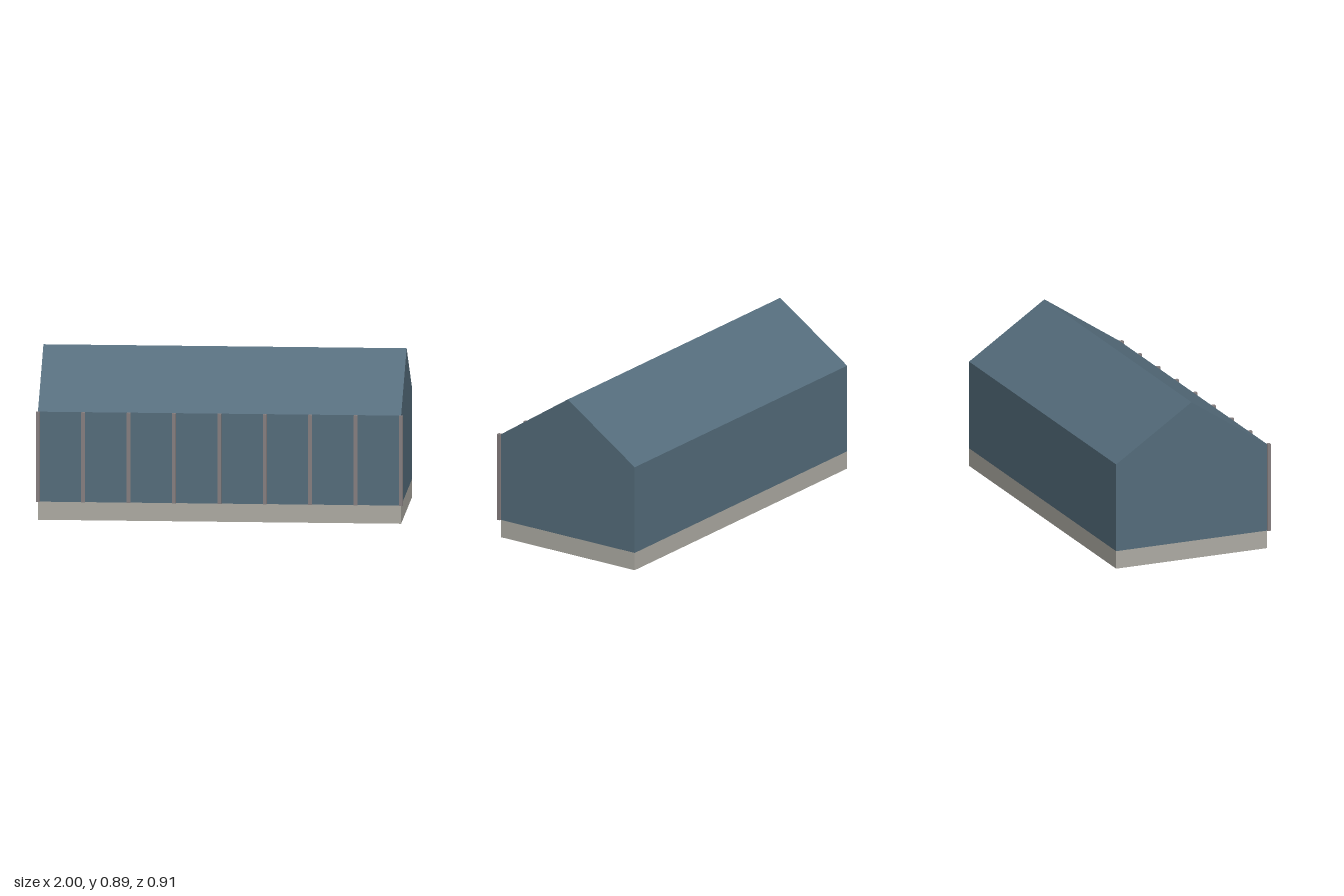
import * as THREE from 'three';

export function createModel() {
  const group = new THREE.Group();
  const wallBlue = new THREE.MeshStandardMaterial({ color: 0x546c7b });
  const plinthGrey = new THREE.MeshStandardMaterial({ color: 0xadaba3 });
  const postGrey = new THREE.MeshStandardMaterial({ color: 0x867f80 });

  const length = 1.976, back = -0.457, front = 0.437;
  const depth = front - back, midZ = (front + back) / 2;
  const plinthTop = 0.1, eaves = 0.595, ridge = 0.892;

  const add = (name, geometry, material, x, y, z) => {
    const mesh = new THREE.Mesh(geometry, material);
    mesh.name = name;
    mesh.position.set(x, y, z);
    group.add(mesh);
    return mesh;
  };

  // Foundation plinth
  add('plinth', new THREE.BoxGeometry(length, plinthTop, depth), plinthGrey, 0, plinthTop / 2, midZ);

  // Gabled hall: end profile extruded along x
  const profile = new THREE.Shape([
    new THREE.Vector2(-depth / 2, plinthTop),
    new THREE.Vector2(depth / 2, plinthTop),
    new THREE.Vector2(depth / 2, eaves),
    new THREE.Vector2(0, ridge),
    new THREE.Vector2(-depth / 2, eaves),
  ]);
  const hall = new THREE.ExtrudeGeometry(profile, { depth: length, bevelEnabled: false });
  hall.translate(0, 0, -length / 2).rotateY(Math.PI / 2);
  add('gabledHall', hall, wallBlue, 0, 0, midZ);

  // Row of slim posts along the front wall
  const posts = 9, size = 0.02, height = eaves - plinthTop;
  const postGeometry = new THREE.BoxGeometry(size, height, size);
  for (let i = 0; i < posts; i++) {
    const x = -length / 2 + (length * i) / (posts - 1);
    add('frontPost' + (i + 1), postGeometry, postGrey, x, plinthTop + height / 2, front + size / 2);
  }
  return group;
}
